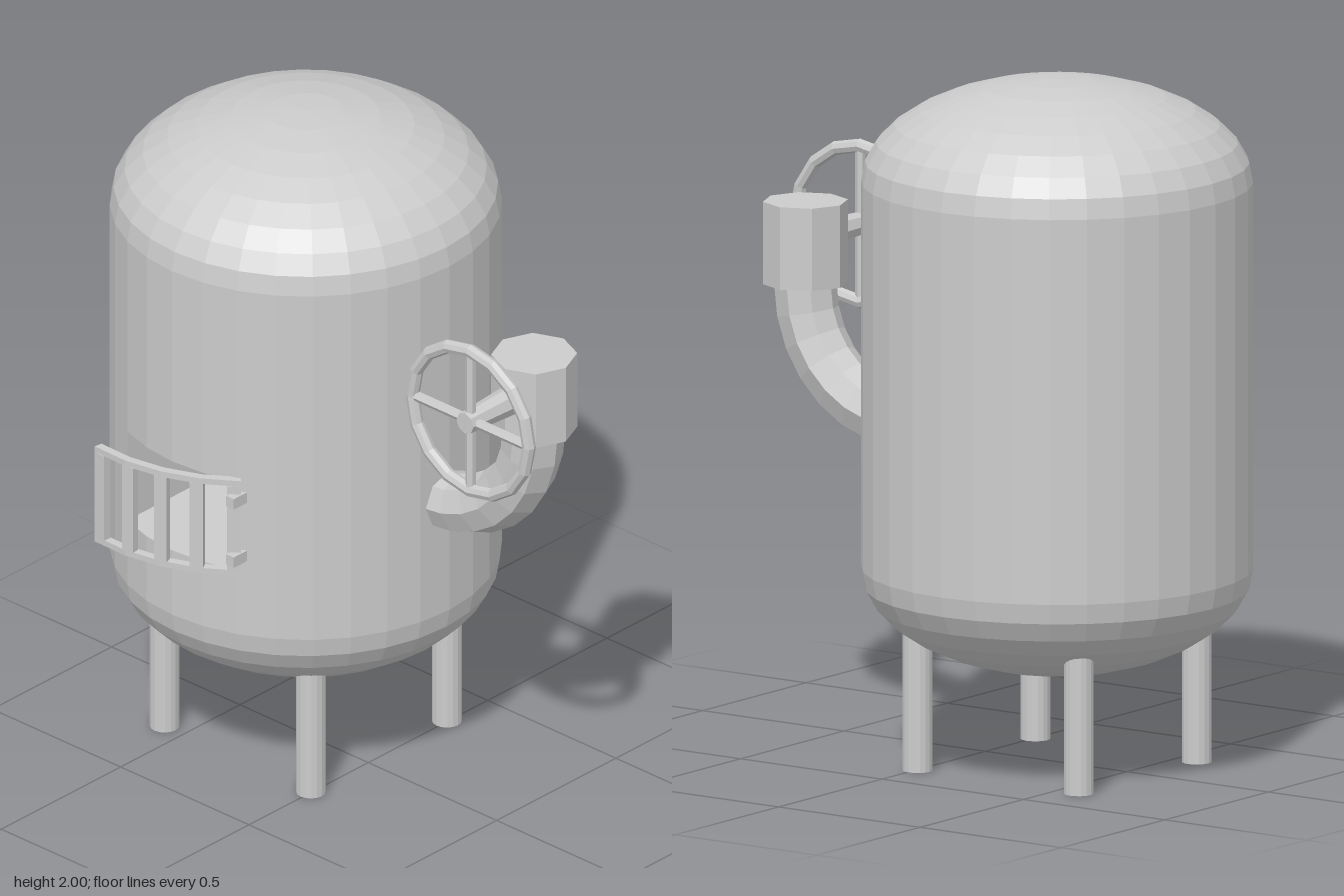
import * as THREE from 'three';

const mat = new THREE.MeshStandardMaterial({ color: 0xcccccc, flatShading: true, side: THREE.DoubleSide });
const TX = -0.29, TZ = -0.05, R = 0.56;      // tank axis and radius
const GAP = Math.PI / 8;                     // half angle of the door opening
const Y0 = 0.79, Y1 = 1.08;                  // door opening height

function add(parent, name, geo, x = 0, y = 0, z = 0) {
  const m = new THREE.Mesh(geo, mat);
  m.name = name;
  m.position.set(x, y, z);
  parent.add(m);
  return m;
}

// Points along an arc around the tank axis, angle measured from the front
function arc(r, a0, a1, n) {
  return Array.from({ length: n + 1 }, (_, i) => {
    const a = a0 + (a1 - a0) * i / n;
    return new THREE.Vector2(r * Math.sin(a), -r * Math.cos(a));
  });
}

// Curved bar following the tank wall
function curvedBar(a0, a1, height, n) {
  const shape = new THREE.Shape([...arc(0.58, a0, a1, n), ...arc(0.555, a1, a0, n)]);
  return new THREE.ExtrudeGeometry(shape, { depth: height, bevelEnabled: false }).rotateX(-Math.PI / 2);
}

function buildTank() {
  const g = new THREE.Group();
  g.name = 'tank';
  g.position.set(TX, 0, TZ);
  const dome = (base, sign) => Array.from({ length: 9 }, (_, i) => {
    const a = i / 8 * Math.PI / 2;
    return new THREE.Vector2(i === 8 ? 0 : R * Math.cos(a), base + sign * 0.3 * Math.sin(a));
  });
  const v = (y) => new THREE.Vector2(R, y);
  add(g, 'lowerShell', new THREE.LatheGeometry([...dome(0.58, -1).reverse(), v(Y0)], 32));
  add(g, 'middleShell', new THREE.LatheGeometry([v(Y0), v(Y1)], 28, GAP, 2 * (Math.PI - GAP)));
  add(g, 'upperShell', new THREE.LatheGeometry([v(Y1), ...dome(1.7, 1)], 32));

  // Recessed firebox behind the opening
  const w = R * Math.sin(GAP), front = R * Math.cos(GAP), back = 0.05, h = Y1 - Y0, d = front - back;
  const plan = new THREE.Shape([...arc(R, -GAP, GAP, 4), new THREE.Vector2(w, -back), new THREE.Vector2(-w, -back)]);
  for (const [name, y] of [['fireboxFloor', Y0], ['fireboxRoof', Y1]])
    add(g, name, new THREE.ShapeGeometry(plan).rotateX(-Math.PI / 2), 0, y);
  add(g, 'fireboxBack', new THREE.PlaneGeometry(2 * w, h), 0, (Y0 + Y1) / 2, back);
  for (const s of [-1, 1])
    add(g, 'fireboxSide', new THREE.PlaneGeometry(d, h).rotateY(-s * Math.PI / 2), s * w, (Y0 + Y1) / 2, back + d / 2);

  // Legs
  for (const x of [-0.285, 0.285])
    for (const z of [-0.285, 0.285])
      add(g, 'leg', new THREE.CylinderGeometry(0.043, 0.043, 0.42, 16), x, 0.21, z);
  return g;
}

// Barred door, swung open on its hinge
function buildDoor() {
  const hx = R * Math.sin(GAP), hz = R * Math.cos(GAP);
  const pivot = new THREE.Group();
  pivot.name = 'door';
  pivot.position.set(TX + hx, 0, TZ + hz);
  pivot.rotation.y = 0.29;
  const A = GAP + 0.02, bw = 0.068, lo = 0.78, hi = 1.09, rail = 0.018;
  for (const y of [lo, hi - rail])
    add(pivot, 'doorRail', curvedBar(-A, A, rail, 4), -hx, y, -hz);
  for (let i = 0; i < 5; i++) {
    const a = -A + i * (2 * A - bw) / 4;
    add(pivot, 'doorBar', curvedBar(a, a + bw, hi - lo - 2 * rail, 1), -hx, lo + rail, -hz);
  }
  return pivot;
}

// Bent pipe, valve body and handwheel
function buildValve() {
  const g = new THREE.Group();
  g.name = 'valve';
  const pts = Array.from({ length: 7 }, (_, i) => {
    const a = i / 6 * Math.PI / 2;
    return new THREE.Vector3(0.24 + 0.36 * Math.sin(a), 1.3 - 0.36 * Math.cos(a), TZ);
  });
  pts.unshift(new THREE.Vector3(0.16, 0.94, TZ));
  const path = new THREE.CatmullRomCurve3(pts);
  add(g, 'pipe', new THREE.TubeGeometry(path, 8, 0.09, 8));
  add(g, 'valveBody', new THREE.CylinderGeometry(0.123, 0.123, 0.24, 8), 0.6, 1.42, TZ);
  add(g, 'stem', new THREE.CylinderGeometry(0.033, 0.046, 0.24, 8).rotateX(Math.PI / 2), 0.6, 1.43, 0.12);

  const wheel = new THREE.Group();
  wheel.name = 'handwheel';
  wheel.position.set(0.6, 1.43, 0.216);
  add(wheel, 'rim', new THREE.TorusGeometry(0.227, 0.02, 8, 16));
  add(wheel, 'spoke', new THREE.CylinderGeometry(0.015, 0.015, 0.44, 6));
  add(wheel, 'spoke', new THREE.CylinderGeometry(0.015, 0.015, 0.44, 6).rotateZ(Math.PI / 2));
  g.add(wheel);
  return g;
}

export function createModel() {
  const model = new THREE.Group();
  model.name = 'boiler';
  model.add(buildTank(), buildDoor(), buildValve());
  // Hinge blocks
  for (const y of [0.84, 1.03])
    add(model, 'hinge', new THREE.BoxGeometry(0.03, 0.034, 0.06), -0.065, y, 0.48);
  return model;
}
